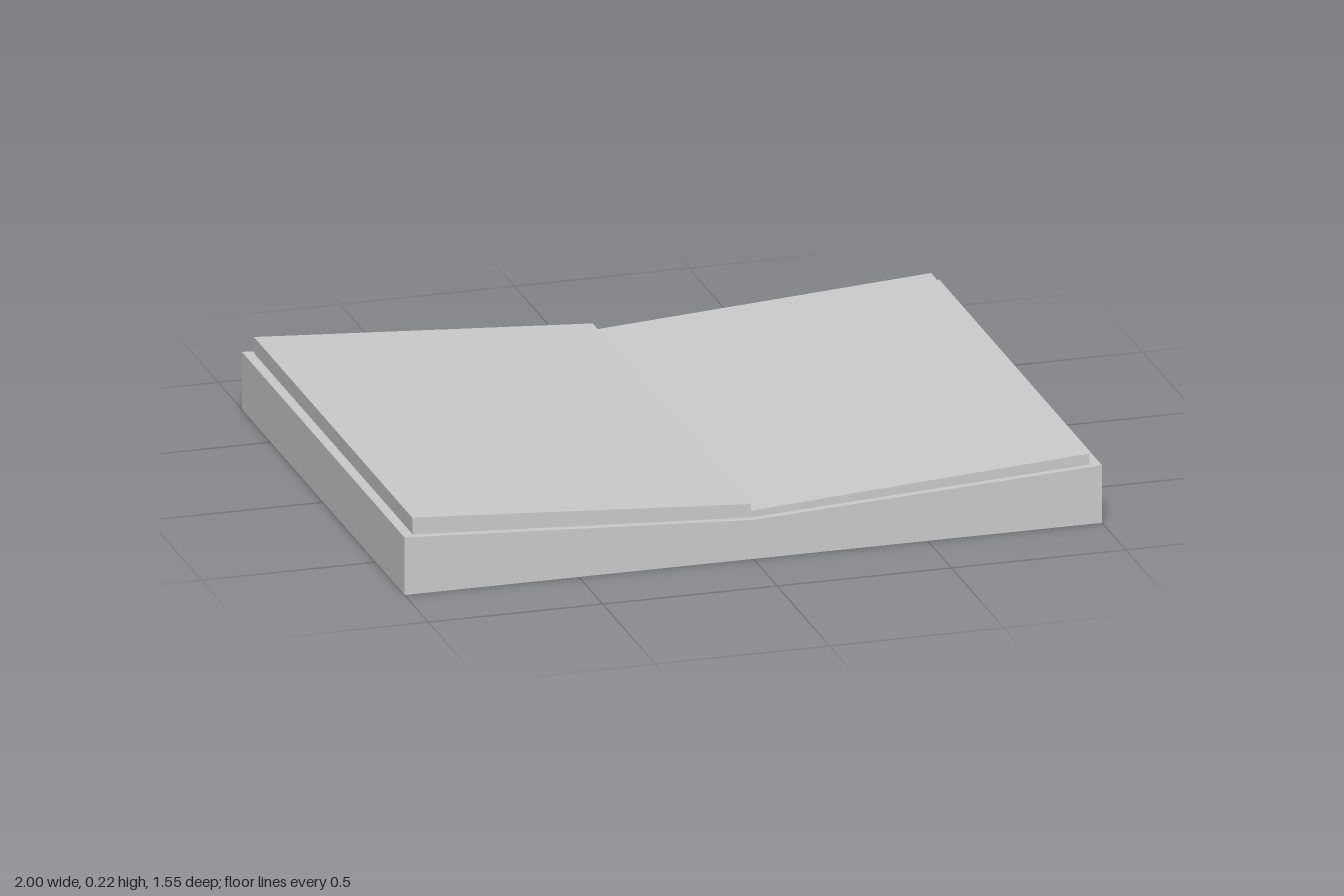
import * as THREE from 'three';

const grey = new THREE.MeshStandardMaterial({ color: 0xcccccc, flatShading: true });

// Extrudes a front profile along z, centred on z = 0
function slab(name, points, depth) {
  const shape = new THREE.Shape(points.map(([x, y]) => new THREE.Vector2(x, y)));
  const geometry = new THREE.ExtrudeGeometry(shape, { depth, bevelEnabled: false });
  geometry.translate(0, 0, -depth / 2);
  const mesh = new THREE.Mesh(geometry, grey);
  mesh.name = name;
  return mesh;
}

export function createModel() {
  const group = new THREE.Group();
  group.name = 'openBook';

  // Cover block with a shallow V-shaped top
  const edgeY = 0.168, valleyY = 0.114;
  group.add(slab('cover', [[-1, 0], [1, 0], [1, edgeY], [0, valleyY], [-1, edgeY]], 1.548));

  // Page stacks resting on the two slopes, the one at -x thicker
  const outerX = 0.97, pageDepth = 1.506;
  const outerY = valleyY + (edgeY - valleyY) * outerX;
  group.add(slab('rightPages', [[-outerX, outerY], [0, valleyY], [0, 0.153], [-outerX - 0.002, 0.216]], pageDepth));
  group.add(slab('leftPages', [[0, valleyY], [outerX, outerY], [outerX, 0.198], [0, 0.134]], pageDepth));

  return group;
}
